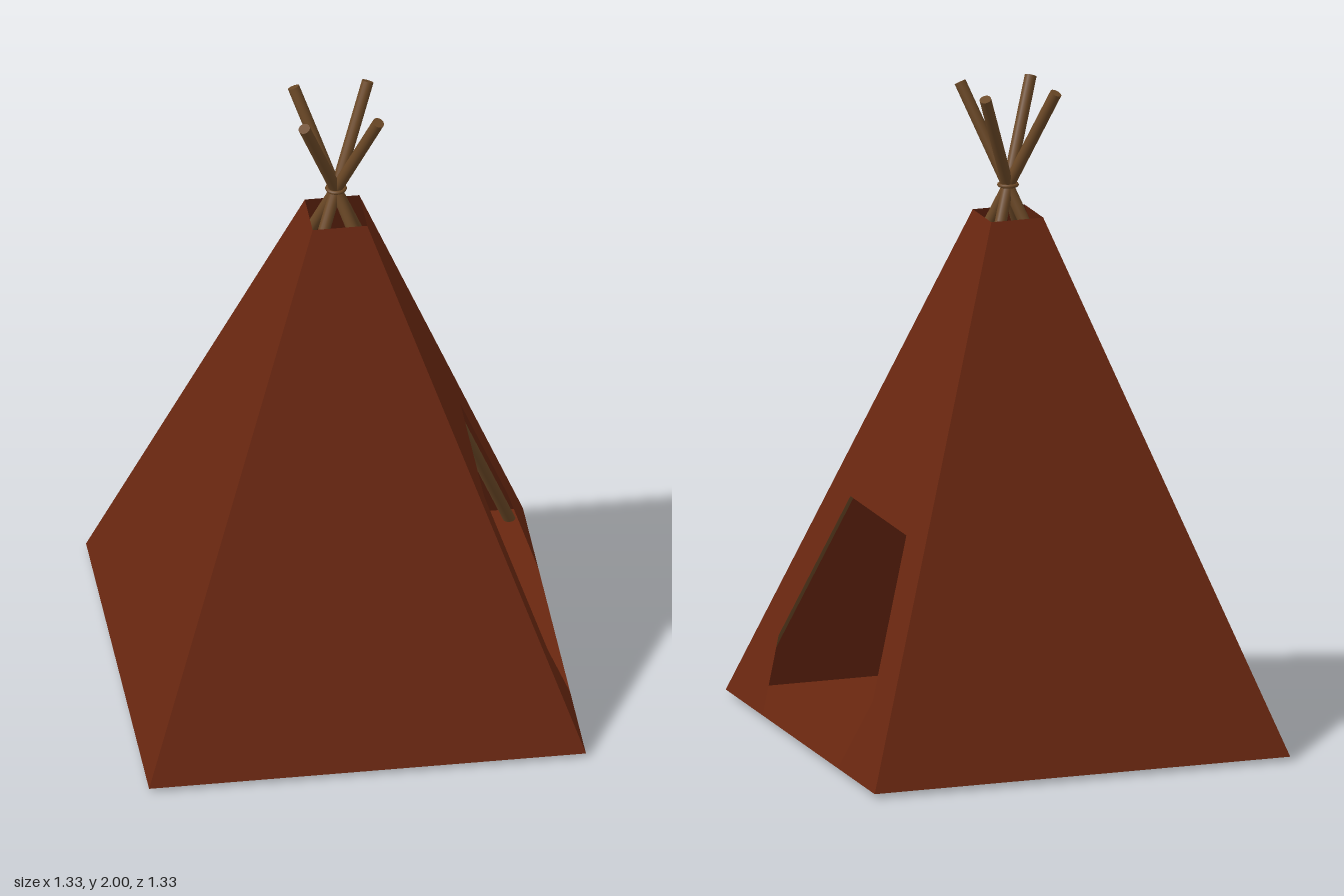
import * as THREE from 'three';

const BASE_Y = 0.013, TOP_Y = 1.6, BASE = 0.665, TOP = 0.083;

// Flat canvas panel, leaned inwards so that four of them meet at the corners
function panelGeometry(door) {
  const points = [[BASE, BASE_Y], [TOP, TOP_Y], [-TOP, TOP_Y], [-BASE, BASE_Y]];
  if (door) {
    points.push([-0.335, BASE_Y], [-0.42, 0.235], [-0.25, 0.695],
      [0.25, 0.695], [0.42, 0.235], [0.335, BASE_Y]);
  }
  const shape = new THREE.Shape(points.map(([x, y]) => new THREE.Vector2(x, y)));
  const geometry = new THREE.ShapeGeometry(shape);
  const position = geometry.attributes.position;
  for (let i = 0; i < position.count; i++) {
    const t = (position.getY(i) - BASE_Y) / (TOP_Y - BASE_Y);
    position.setZ(i, THREE.MathUtils.lerp(BASE, TOP, t));
  }
  geometry.computeVertexNormals();
  return geometry;
}

export function createModel() {
  const group = new THREE.Group();
  const canvas = new THREE.MeshStandardMaterial({ color: 0x6a2710, side: THREE.DoubleSide });
  canvas.name = 'russet canvas';
  const wood = new THREE.MeshStandardMaterial({ color: 0x6b4826 });
  wood.name = 'brown wood';

  const add = (name, geometry, material) => {
    const mesh = new THREE.Mesh(geometry, material);
    mesh.name = name;
    group.add(mesh);
    return mesh;
  };

  // Four walls, with the doorway in the +x one
  ['frontWall', 'doorWall', 'backWall', 'sideWall'].forEach((name, i) => {
    add(name, panelGeometry(name === 'doorWall'), canvas).rotation.y = i * Math.PI / 2;
  });

  // Ground sheet
  const floor = add('floor', new THREE.PlaneGeometry(BASE * 2, BASE * 2), canvas);
  floor.rotation.x = -Math.PI / 2;
  floor.position.y = BASE_Y;

  // Corner poles crossing above the smoke hole
  const up = new THREE.Vector3(0, 1, 0);
  for (const sx of [-1, 1]) {
    for (const sz of [-1, 1]) {
      const foot = new THREE.Vector3(sx * 0.618, 0.008, sz * 0.618);
      const tip = new THREE.Vector3(-sx * 0.113, 1.992, -sz * 0.113);
      const axis = tip.clone().sub(foot);
      const pole = add('pole', new THREE.CylinderGeometry(0.018, 0.018, axis.length(), 16), wood);
      pole.position.copy(foot).add(tip).multiplyScalar(0.5);
      pole.quaternion.setFromUnitVectors(up, axis.normalize());
    }
  }

  // Binding where the poles cross
  const binding = add('binding', new THREE.TorusGeometry(0.027, 0.006, 8, 24), wood);
  binding.rotation.x = Math.PI / 2;
  binding.position.y = 1.69;

  return group;
}
